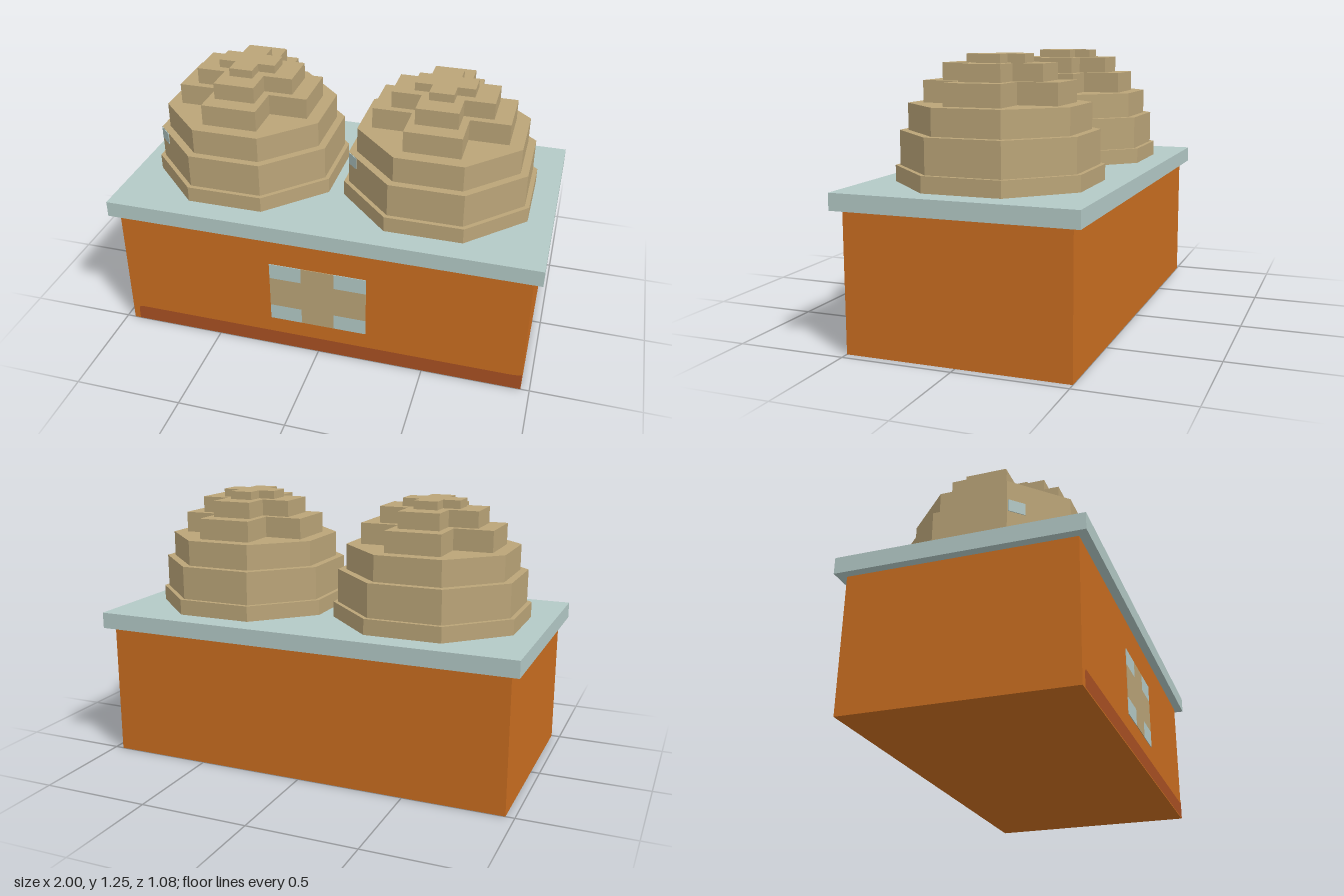
import * as THREE from 'three';

const material = (name, color) => Object.assign(new THREE.MeshStandardMaterial({ color }), { name });

export function createModel() {
  const orange = material('orange', 0xc96d20);
  const rust = material('rust', 0xa85022);
  const paleBlue = material('paleBlue', 0xb3c9c6);
  const tan = material('tan', 0xbaa478);
  const model = new THREE.Group();
  model.name = 'counterWithDomes';

  const add = (parent, name, geometry, mat, x = 0, y = 0, z = 0) => {
    const mesh = new THREE.Mesh(geometry, mat);
    mesh.name = name;
    mesh.position.set(x, y, z);
    parent.add(mesh);
    return mesh;
  };
  // box given by half width, bottom, top and half depth
  const block = (parent, name, hx, y0, y1, hz, mat) =>
    add(parent, name, new THREE.BoxGeometry(hx * 2, y1 - y0, hz * 2), mat, 0, (y0 + y1) / 2, 0);

  // Counter and its top
  block(model, 'counterBody', 0.96, 0, 0.62, 0.5, orange);
  block(model, 'counterTop', 1, 0.62, 0.695, 0.54, paleBlue);

  // Painted kick band with a rounded upper corner
  const band = new THREE.Shape();
  band.moveTo(-0.93, 0.002);
  band.lineTo(0.96, 0.002);
  band.lineTo(0.96, 0.087);
  band.quadraticCurveTo(0.94, 0.078, 0.9, 0.078);
  band.lineTo(-0.91, 0.078);
  band.quadraticCurveTo(-0.93, 0.078, -0.93, 0.055);
  add(model, 'kickBand', new THREE.ShapeGeometry(band), rust, 0, 0, 0.502);

  // Square front panel: a tan cross between four pale corners
  const plate = (name, w, h, mat, x, y) =>
    add(model, name, new THREE.BoxGeometry(w, h, 0.003), mat, x, y, 0.5015);
  plate('panelUpright', 0.156, 0.31, tan, 0, 0.313);
  for (const s of [-1, 1]) {
    plate('panelArm', 0.152, 0.154, tan, s * 0.154, 0.313);
    for (const t of [-1, 1]) plate('panelCorner', 0.152, 0.078, paleBlue, s * 0.154, 0.313 + t * 0.116);
  }

  // Stepped domes: [half width, bottom, top] and, for crosses, half arm width
  const octagons = [[0.425, 0.695, 0.767], [0.405, 0.767, 0.921], [0.37, 0.921, 1.039]];
  const crosses = [[0.308, 1.039, 1.136, 0.128], [0.23, 1.136, 1.212, 0.095], [0.135, 1.212, 1.25, 0.055]];
  for (const x of [-0.462, 0.462]) {
    const dome = new THREE.Group();
    dome.name = x > 0 ? 'leftDome' : 'rightDome';
    dome.position.x = x;
    for (const [r, y0, y1] of octagons) {
      const R = r / Math.cos(Math.PI / 8);
      const g = new THREE.CylinderGeometry(R, R, y1 - y0, 8, 1, false, Math.PI / 8).toNonIndexed();
      g.computeVertexNormals();
      add(dome, 'octagonTier', g, tan, 0, (y0 + y1) / 2, 0);
    }
    for (const [r, y0, y1, arm] of crosses) {
      block(dome, 'crossTierCentre', r, y0, y1, arm, tan);
      for (const s of [-1, 1])
        add(dome, 'crossTierArm', new THREE.BoxGeometry(arm * 2, y1 - y0, r - arm), tan,
          0, (y0 + y1) / 2, s * (r + arm) / 2);
    }
    // Pale spot near the upper end of one slanted face
    const wide = x < 0 ? 0.08 : 0.065;
    const pivot = new THREE.Group();
    pivot.name = 'spotFace';
    pivot.rotation.y = -Math.PI / 4;
    add(pivot, 'paleSpot', new THREE.BoxGeometry(wide, 0.055, 0.003), paleBlue, -0.163 + wide / 2, 0.892, 0.4065);
    dome.add(pivot);
    model.add(dome);
  }
  return model;
}
